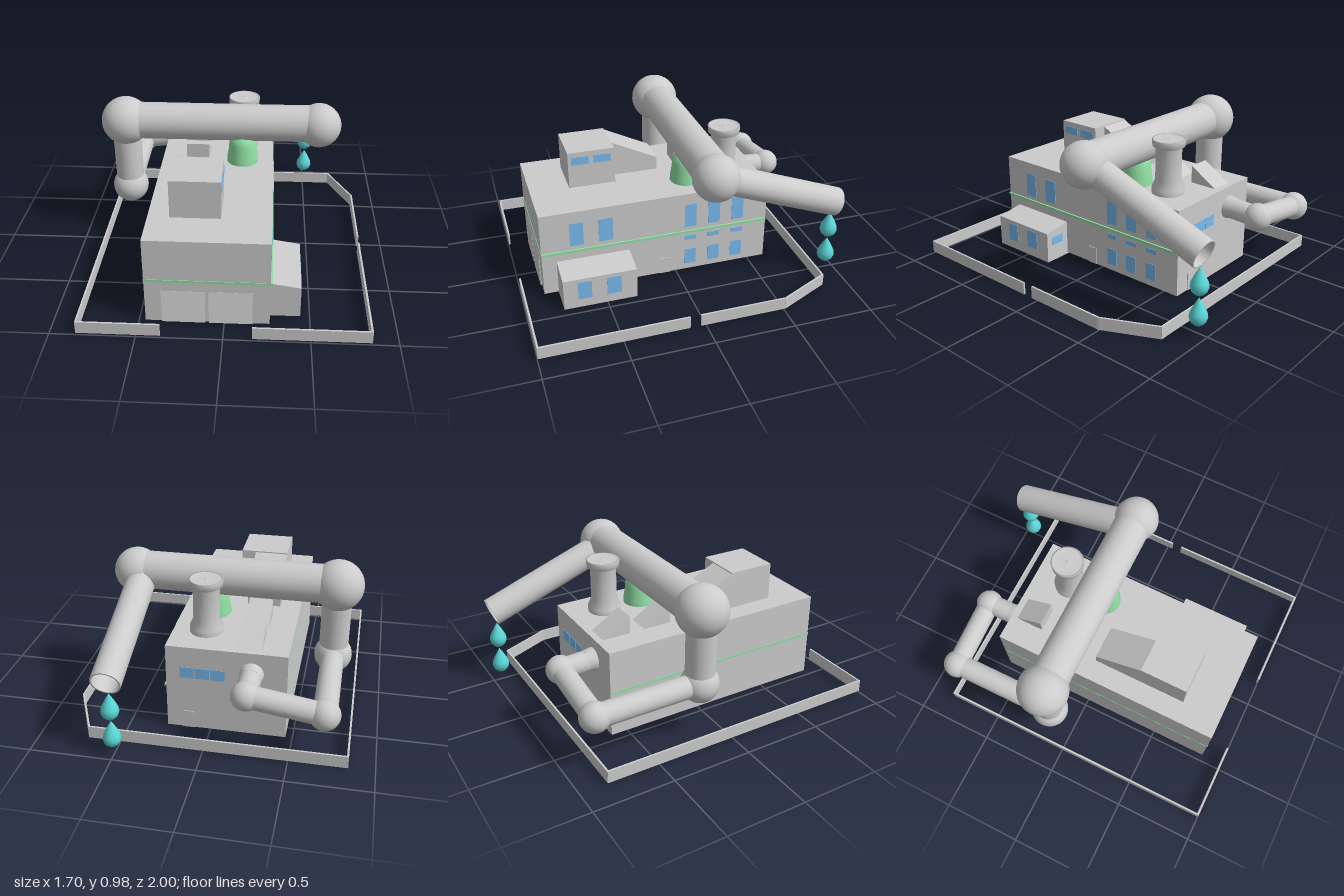
import * as THREE from 'three';

const mat = (color) => new THREE.MeshStandardMaterial({ color, side: THREE.DoubleSide });
const GREY = mat(0xcccccc), GREEN = mat(0x90e0a4), BLUE = mat(0x78bcf0), CYAN = mat(0x5cd8d8);
const V = (x, y, z) => new THREE.Vector3(x, y, z);

export function createModel() {
  const root = new THREE.Group();

  const add = (name, geometry, material = GREY) => {
    const mesh = new THREE.Mesh(geometry, material);
    mesh.name = name;
    root.add(mesh);
    return mesh;
  };
  // Box given by its lower and upper limits on each axis
  const box = (name, x0, x1, y0, y1, z0, z1, material) =>
    add(name, new THREE.BoxGeometry(x1 - x0, y1 - y0, z1 - z0)
      .translate((x0 + x1) / 2, (y0 + y1) / 2, (z0 + z1) / 2), material);
  const extrude = (points, depth) => new THREE.ExtrudeGeometry(
    new THREE.Shape(points.map(([a, b]) => new THREE.Vector2(a, b))), { depth, bevelEnabled: false });
  // Side profile of [z, y] points, extruded from x0 to x1
  const sideProfile = (name, points, x0, x1) =>
    add(name, extrude(points, x1 - x0).rotateY(-Math.PI / 2).translate(x1, 0, 0));
  const pipe = (name, a, b, r) => {
    const mesh = add(name, new THREE.CylinderGeometry(r, r, a.distanceTo(b), 32, 1, true));
    mesh.position.copy(a).lerp(b, 0.5);
    mesh.quaternion.setFromUnitVectors(V(0, 1, 0), b.clone().sub(a).normalize());
    return mesh;
  };
  const joint = (name, p, r) => add(name, new THREE.SphereGeometry(r, 32, 20).translate(p.x, p.y, p.z));
  const lathe = (name, points, x, y, z, material) =>
    add(name, new THREE.LatheGeometry(points.map(([r, h]) => new THREE.Vector2(r, h)), 32)
      .translate(x, y, z), material);

  // Main hall, with a trim band that stands out on the right-hand wall
  box('hall', -0.46, 0.265, 0.01, 0.565, -0.61, 0.86);
  box('trimBand', -0.462, 0.276, 0.287, 0.302, -0.608, 0.863, GREEN);

  // Side annex with a sloping roof
  add('annex', extrude([[0.25, 0], [0.445, 0], [0.445, 0.203], [0.265, 0.232], [0.25, 0.232]], 0.46)
    .translate(0, 0, 0.31));

  // Rooftop cabin and the sloped housing behind it
  box('roofCabin', -0.33, -0.03, 0.56, 0.805, 0.315, 0.612);
  sideProfile('slopedHousing', [[0.012, 0.56], [0.32, 0.56], [0.32, 0.8], [0.012, 0.648]], -0.33, -0.12);

  // Sawtooth skylights
  for (const z of [-0.57, -0.295])
    sideProfile('sawtoothSkylight', [[z, 0.564], [z + 0.18, 0.564], [z + 0.18, 0.675]], -0.3, -0.155);

  // Windows on the right-hand walls
  const sideWindow = (x, z0, z1, y0, y1) => box('sideWindow', x - 0.01, x + 0.003, y0, y1, z0, z1, BLUE);
  for (const [z0, z1] of [[0.595, 0.68], [0.41, 0.5]]) {
    sideWindow(0.265, z0, z1, 0.33, 0.487);
    sideWindow(0.445, z0, z1, 0.06, 0.18);
  }
  for (const [z0, z1] of [[-0.132, -0.055], [-0.29, -0.212], [-0.448, -0.37]]) {
    sideWindow(0.265, z0, z1, 0.33, 0.49);
    sideWindow(0.265, z0, z1, 0.232, 0.262);
    sideWindow(0.265, z0, z1, 0.05, 0.16);
  }
  for (const z of [0.48, 0.34]) sideWindow(-0.03, z, z + 0.11, 0.72, 0.772);

  // Windows in the back walls
  for (const x of [-0.09, 0.003, 0.096])
    box('backWindow', x, x + 0.085, 0.36, 0.43, -0.613, -0.6, BLUE);
  box('annexWindow', 0.31, 0.4, 0.11, 0.165, 0.307, 0.32, BLUE);

  // Small doors
  box('sideDoor', 0.26, 0.27, 0.01, 0.122, 0.04, 0.11);
  box('backDoor', 0.1, 0.165, 0.01, 0.125, -0.615, -0.6);

  // Slatted garage doors
  const slats = 5, slatHeight = 0.215 / slats;
  for (const x of [-0.363, -0.088]) {
    const profile = [[0.85, 0.01]];
    for (let i = 0; i < slats; i++) {
      profile.push([0.869, 0.01 + i * slatHeight], [0.861, 0.01 + (i + 1) * slatHeight]);
    }
    profile.push([0.85, 0.225]);
    sideProfile('garageDoor', profile, x, x + 0.253);
  }

  // Chimney with a flared foot and a rimmed cap
  lathe('chimney', [[0.102, 0], [0.102, 0.035], [0.08, 0.085], [0.08, 0.285], [0.1, 0.3], [0.102, 0.34],
    [0.092, 0.34], [0.092, 0.332], [0.008, 0.332], [0.008, 0.338], [0, 0.338]], 0.065, 0.565, -0.375);

  // Domed vent
  lathe('domedVent', [[0.102, 0], [0.1, 0.035], [0.09, 0.09], [0.088, 0.13], [0.075, 0.165],
    [0.045, 0.195], [0.02, 0.21], [0, 0.215]], 0.065, 0.565, -0.125, GREEN);

  // Large overhead pipe and its ball joints
  const highLeft = V(-0.695, 0.822, -0.145), highRight = V(0.553, 0.818, -0.142);
  const lowSide = V(-0.69, 0.35, -0.145), lowBack = V(-0.695, 0.352, -0.825);
  const backEnd = V(-0.25, 0.42, -0.825);
  pipe('overheadPipe', V(-0.695, 0.825, -0.145), V(0.553, 0.825, -0.145), 0.118);
  joint('highRightJoint', highRight, 0.142);
  joint('highLeftJoint', highLeft, 0.156);

  // Descending pipe and the run round to the back wall
  pipe('downPipe', highLeft, lowSide, 0.09);
  joint('lowSideJoint', lowSide, 0.117);
  pipe('sidePipe', lowSide, lowBack, 0.07);
  joint('lowBackJoint', lowBack, 0.09);
  pipe('backPipe', lowBack, backEnd, 0.067);
  joint('backEndJoint', backEnd, 0.086);
  pipe('wallPipe', backEnd, V(-0.25, 0.43, -0.6), 0.065);
  const collar = add('wallCollar', new THREE.CylinderGeometry(0.064, 0.073, 0.06, 32));
  collar.rotation.x = -Math.PI / 2;
  collar.position.set(-0.25, 0.43, -0.638);

  // Open outlet pipe with a rim
  const outletStart = V(0.512, 0.805, -0.14), outletEnd = V(0.512, 0.497, -0.965);
  const outlet = pipe('outletPipe', outletStart, outletEnd, 0.09);
  pipe('outletLining', outletStart, outletEnd, 0.082);
  const rim = add('outletRim', new THREE.RingGeometry(0.082, 0.09, 32).rotateX(-Math.PI / 2));
  rim.position.copy(outletEnd);
  rim.quaternion.copy(outlet.quaternion);

  // Falling drops
  for (const y of [0.245, 0.058])
    lathe('drop', [[0, 0], [0.025, 0.006], [0.045, 0.025], [0.054, 0.052], [0.05, 0.078], [0.036, 0.108],
      [0.018, 0.142], [0, 0.172]], 0.507, y, -0.94, CYAN);

  // Perimeter fence with gateways at the front and the right-hand side
  const runs = [
    [[-0.363, 0.993], [-0.84, 0.993], [-0.84, -0.828], [0.69, -0.828], [0.841, -0.505], [0.841, 0.03]],
    [[0.841, 0.105], [0.841, 0.993], [0.17, 0.993]],
  ];
  for (const run of runs) {
    for (let i = 1; i < run.length; i++) {
      const [ax, az] = run[i - 1], [bx, bz] = run[i];
      const wall = add('fence', new THREE.BoxGeometry(Math.hypot(bx - ax, bz - az) + 0.008, 0.077, 0.012));
      wall.position.set((ax + bx) / 2, 0.05, (az + bz) / 2);
      wall.rotation.y = -Math.atan2(bz - az, bx - ax);
    }
  }
  return root;
}
